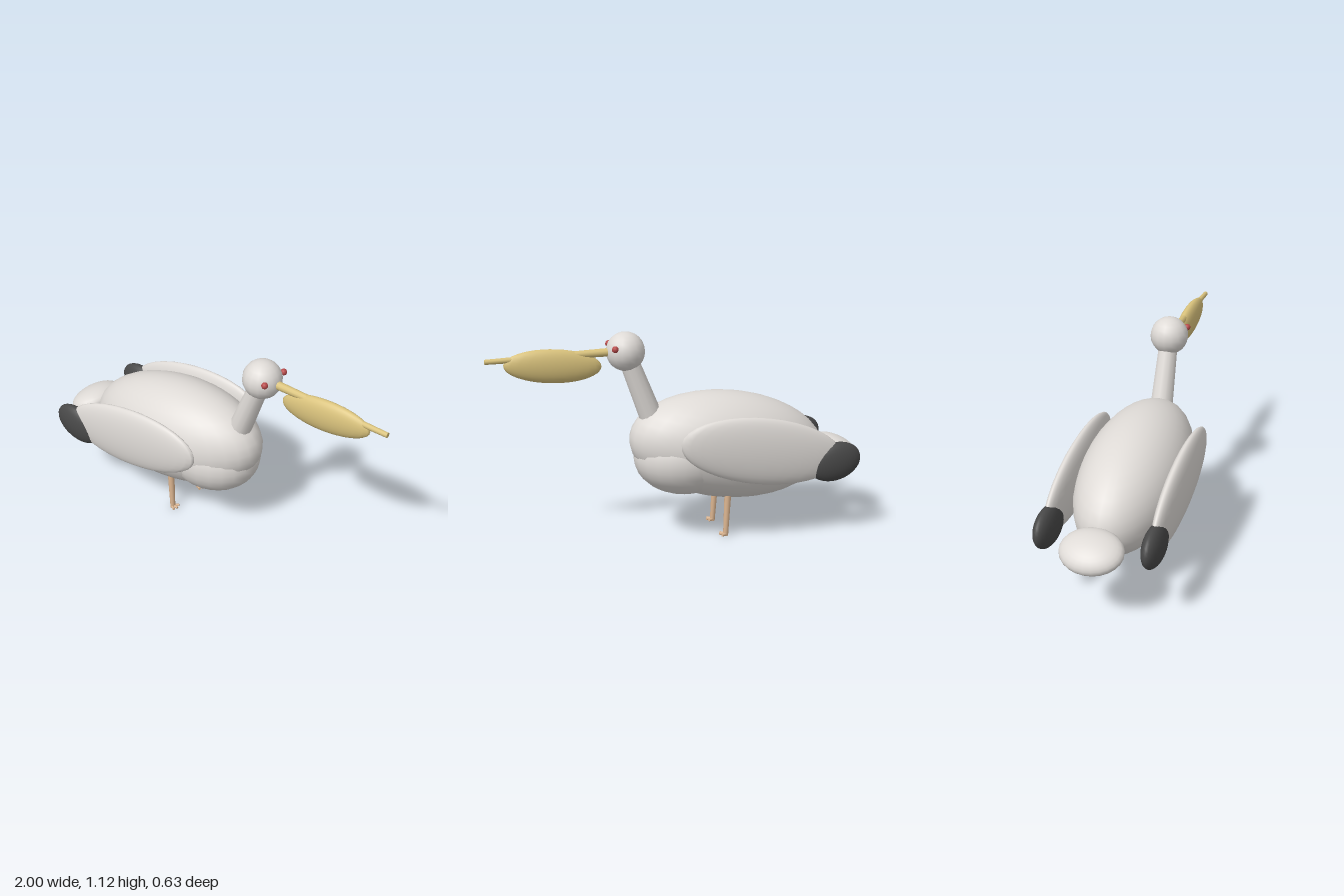
import * as THREE from 'three';

const mat = (name, color) => {
  const m = new THREE.MeshStandardMaterial({ color });
  m.name = name;
  return m;
};

export function createModel() {
  const bird = new THREE.Group();
  bird.name = 'bird';
  const plumage = mat('plumage grey', 0xdeDAD6);
  const dark = mat('wing tip charcoal', 0x484848);
  const bill = mat('bill yellow', 0xd9c27c);
  const skin = mat('leg tan', 0xdcb590);
  const red = mat('eye red', 0xb84a4a);

  // Ellipsoid tilted in the side plane (degrees, front end up)
  function ellipsoid(name, material, center, radii, tilt = 0, w = 24, h = 16) {
    const mesh = new THREE.Mesh(new THREE.SphereGeometry(1, w, h), material);
    mesh.name = name;
    mesh.position.set(...center);
    mesh.scale.set(...radii);
    mesh.rotation.z = THREE.MathUtils.degToRad(tilt);
    bird.add(mesh);
    return mesh;
  }

  // Tapered round rod between two points
  function rod(name, material, from, to, r0, r1, sides = 12) {
    const a = new THREE.Vector3(...from), b = new THREE.Vector3(...to);
    const dir = b.clone().sub(a);
    const mesh = new THREE.Mesh(new THREE.CylinderGeometry(r1, r0, dir.length(), sides), material);
    mesh.name = name;
    mesh.position.copy(a).add(b).multiplyScalar(0.5);
    mesh.quaternion.setFromUnitVectors(new THREE.Vector3(0, 1, 0), dir.normalize());
    bird.add(mesh);
    return mesh;
  }

  // Body, breast and tail
  ellipsoid('body', plumage, [-0.26, 0.487, 0], [0.545, 0.289, 0.265], 8.9, 32, 20);
  ellipsoid('breast', plumage, [-0.02, 0.45, 0], [0.277, 0.21, 0.23]);
  ellipsoid('tail', plumage, [-0.88, 0.41, 0], [0.127, 0.069, 0.158], 22.5);

  // Neck and head
  rod('neck', plumage, [0.16, 0.66, 0], [0.28, 0.98, 0], 0.061, 0.05);
  ellipsoid('head', plumage, [0.295, 1.025, 0], [0.1, 0.1, 0.1], 0, 16, 12);

  // Bill and pouch
  rod('upperBill', bill, [0.36, 1.026, 0], [1.0, 1.014, 0], 0.022, 0.013);
  ellipsoid('pouch', bill, [0.665, 0.972, 0], [0.246, 0.086, 0.04], 4.4);

  for (const [side, s] of [['left', -1], ['right', 1]]) {
    // Eyes
    ellipsoid(side + 'Eye', red, [0.365, 1.053, s * 0.077], [0.017, 0.017, 0.017], 0, 10, 8);

    // Wings with dark tips
    ellipsoid(side + 'Wing', plumage, [-0.36, 0.515, s * 0.267], [0.446, 0.176, 0.05], 9.9, 28, 18);
    ellipsoid(side + 'WingTip', dark, [-0.76, 0.422, s * 0.267], [0.148, 0.105, 0.05], -10);

    // Legs and toes
    rod(side + 'Leg', skin, [-0.226, 0.26, s * 0.106], [-0.213, 0.008, s * 0.113], 0.019, 0.014, 10);
    for (const angle of [-0.6, 0, 0.6]) {
      rod(side + 'Toe', skin, [-0.222, 0.016, s * 0.113],
        [-0.222 + 0.043 * Math.cos(angle), 0.019, s * 0.113 + 0.04 * Math.sin(angle)], 0.008, 0.007, 8);
    }
  }
  return bird;
}
